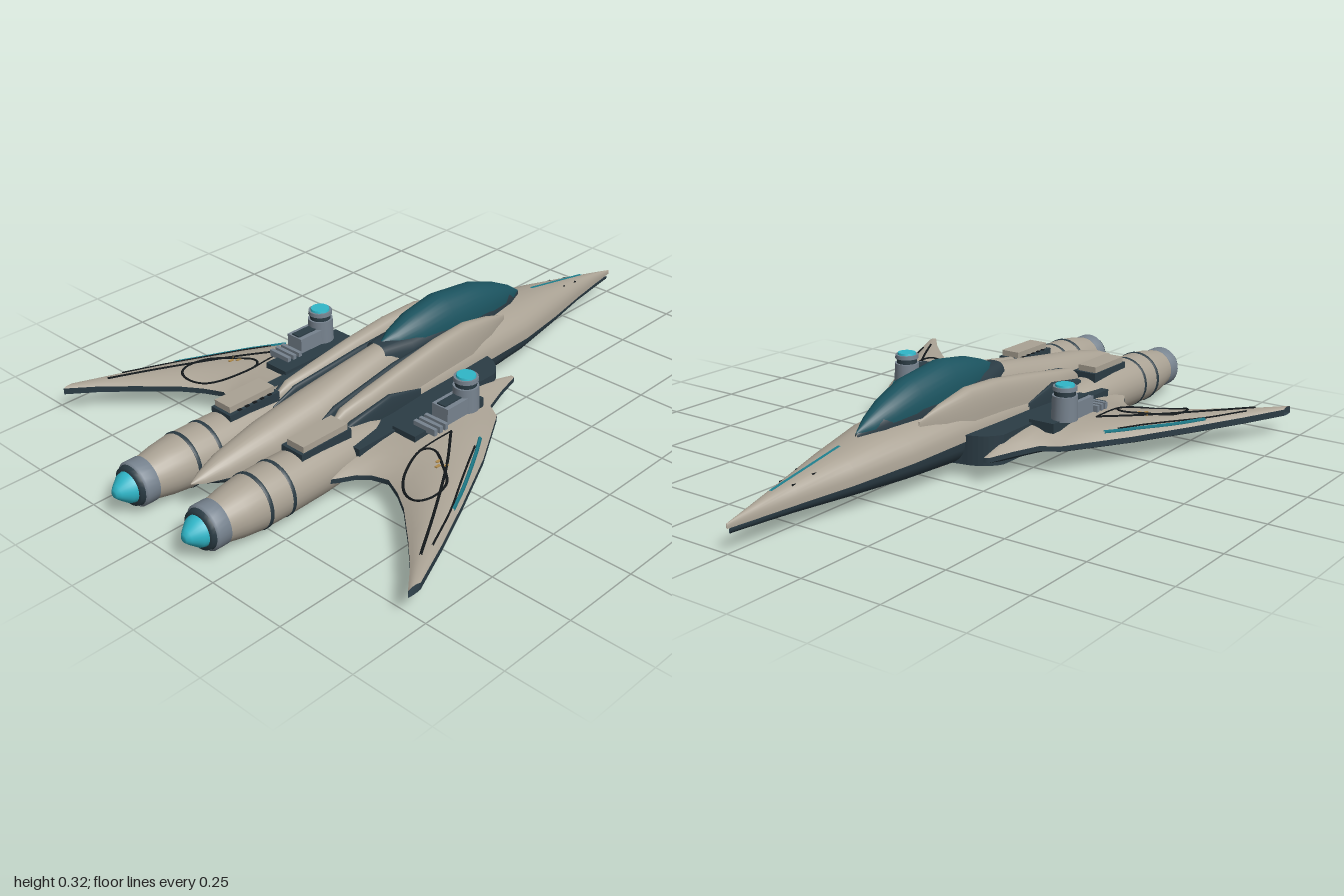
import * as THREE from 'three';

const mat = (name, color) => new THREE.MeshStandardMaterial({ name, color, side: THREE.DoubleSide });

export function createModel() {
  const M = {
    hull: mat('warm grey hull', 0xaaa294), dark: mat('dark slate', 0x2b3c45), glass: mat('teal glass', 0x1b535f),
    glow: mat('cyan glow', 0x2fb6c8), steel: mat('blue steel', 0x77838f), black: mat('panel line', 0x14191c),
    teal: mat('teal stripe', 0x1f7f8e), amber: mat('amber marking', 0xb08a4a),
  };
  const root = new THREE.Group();
  const add = (name, geo, m, x = 0, y = 0, z = 0, parent = root) => {
    const mesh = new THREE.Mesh(geo, m);
    mesh.name = name;
    mesh.position.set(x, y, z);
    parent.add(mesh);
    return mesh;
  };

  // Skin through rows of points
  const skin = rows => {
    const n = rows[0].length, idx = [];
    for (let i = 0; i < rows.length - 1; i++) for (let j = 0; j < n - 1; j++) {
      const a = i * n + j, b = a + n;
      idx.push(a, b, a + 1, a + 1, b, b + 1);
    }
    const g = new THREE.BufferGeometry();
    g.setAttribute('position', new THREE.Float32BufferAttribute(rows.flat(2), 3));
    g.setIndex(idx);
    g.computeVertexNormals();
    return g;
  };
  // Half shell from sections [z, halfWidth, edgeY, crestY, centreX]
  const shell = (sections, p = 1) => skin(sections.map(([z, w, y0, y1, cx = 0]) => {
    const row = [];
    for (let k = 0; k <= 16; k++) {
      const a = Math.PI * k / 16, c = Math.cos(a), s = Math.max(0, Math.sin(a));
      row.push([cx + w * Math.sign(c) * Math.abs(c) ** p, y0 + (y1 - y0) * s ** p, z]);
    }
    return row;
  }));

  // Fuselage: pale upper shell and dark keel
  add('upperFuselage', shell([
    [-1, .002, .068, .082], [-.9, .018, .07, .105], [-.78, .042, .075, .13], [-.6, .085, .085, .163], [-.4, .128, .1, .19],
    [-.2, .143, .108, .205], [0, .15, .11, .205], [.25, .153, .11, .195], [.38, .135, .11, .17], [.5, .08, .1, .14]], .85), M.hull);
  add('keel', shell([
    [-.99, .002, .064, .052], [-.78, .038, .075, .044], [-.6, .08, .085, .036], [-.4, .122, .1, .028], [-.2, .14, .108, .02],
    [0, .148, .11, .015], [.3, .148, .11, .016], [.5, .1, .1, .025], [.7, .05, .1, .05], [.83, .004, .11, .1]], .8), M.dark);
  add('tailSpine', shell([
    [-.1, .05, .15, .24], [.1, .058, .15, .25], [.25, .062, .14, .232], [.42, .074, .11, .208], [.6, .066, .1, .185],
    [.75, .042, .1, .155], [.82, .02, .105, .13], [.855, .002, .11, .112]], .9), M.hull);
  add('canopyFrame', shell([
    [-.5, .004, .165, .188], [-.42, .04, .165, .225], [-.28, .069, .17, .25], [-.1, .074, .18, .255],
    [.05, .064, .18, .25], [.15, .04, .19, .252]], .6), M.dark);
  add('canopy', shell([
    [-.5, .002, .185, .19], [-.45, .026, .19, .225], [-.38, .048, .2, .26], [-.28, .066, .21, .295], [-.12, .071, .215, .315],
    [0, .058, .22, .298], [.08, .034, .23, .272], [.13, .003, .245, .25]], .95), M.glass);
  add('bellyPanel', skin([[-.28, .02], [-.2, .055], [0, .06], [.14, .055], [.22, .02]].map(([z, w]) =>
    [-1, 0, 1].map(s => [s * w, z < -.1 ? .014 : .01, z]))), M.hull);
  add('noseStripe', skin([[-.84, .122], [-.78, .133], [-.68, .151], [-.57, .171]].map(([z, y]) =>
    [[-.005, y, z], [.005, y, z]])), M.teal);

  // Dark centre body joining hull and wings
  const bodyShape = new THREE.Shape();
  bodyShape.moveTo(0, -.22);
  bodyShape.lineTo(.13, -.19);
  bodyShape.quadraticCurveTo(.2, -.18, .228, -.12);
  bodyShape.lineTo(.228, .45);
  bodyShape.lineTo(0, .45);
  const bodyGeo = new THREE.ExtrudeGeometry(bodyShape, { depth: .09, bevelEnabled: false, curveSegments: 8 });
  bodyGeo.rotateX(Math.PI / 2);

  // Wing planform: x, leading z, trailing z, crest y, floor y
  const W = [
    [.222, -.21, .56, .126, .035], [.235, -.205, .54, .126, .036], [.26, -.115, .495, .125, .038], [.29, -.03, .468, .124, .04],
    [.34, 0, .452, .121, .042], [.4, .1, .48, .116, .045], [.46, .2, .52, .111, .048], [.56, .4, .61, .102, .052],
    [.64, .57, .688, .094, .056], [.705, .72, .765, .087, .06]];
  const surfaceY = (x, t, s, top) => {
    const edge = top ? .082 : .07 - .008 * (x / .7);
    return edge + ((top ? s[3] : s[4]) - edge) * (1 - Math.abs(2 * t - 1) ** 2.5);
  };
  const wingSkin = top => skin(W.map(s => Array.from({ length: 13 }, (_, k) => {
    const t = k / 12;
    return [s[0], surfaceY(s[0], t, s, top), s[1] + (s[2] - s[1]) * t];
  })));
  const onWing = (x, z, top) => {
    let i = 0;
    while (i < W.length - 2 && W[i + 1][0] < x) i++;
    const f = (x - W[i][0]) / (W[i + 1][0] - W[i][0]);
    const s = W[i].map((v, k) => v + (W[i + 1][k] - v) * f);
    const t = THREE.MathUtils.clamp((z - s[1]) / (s[2] - s[1]), 0, 1);
    return new THREE.Vector3(x, surfaceY(x, t, s, top) + (top ? .001 : -.001), z);
  };
  // Thin line following the wing surface
  const wingLine = (pts, r, closed = false, smooth = true, top = true) => {
    const v = pts.map(([x, z]) => new THREE.Vector3(x, 0, z));
    const path = new THREE.CatmullRomCurve3(v, closed, 'catmullrom', smooth ? .5 : 0);
    const on = path.getPoints(28).map(p => onWing(p.x, p.z, top));
    if (closed) on.pop();
    return new THREE.TubeGeometry(new THREE.CatmullRomCurve3(on, closed), 48, r, 4, closed);
  };
  const lathe = pts => {
    const g = new THREE.LatheGeometry(pts.map(([r, z]) => new THREE.Vector2(r, z)), 28);
    return g.rotateX(Math.PI / 2);
  };

  for (const side of [1, -1]) {
    const g = new THREE.Group();
    g.name = side > 0 ? 'leftSide' : 'rightSide';
    g.scale.x = side;
    root.add(g);
    const put = (name, geo, m, x, y, z) => add(name, geo, m, x, y, z, g);

    put('centreBody', bodyGeo, M.dark, 0, .128, 0);

    // Shoulder fairing with a dark groove beside the spine
    put('shoulderFairing', shell([
      [-.33, .002, .16, .195, .085], [-.24, .022, .15, .225, .092], [-.13, .034, .14, .25, .1], [0, .036, .14, .246, .104],
      [.15, .036, .13, .228, .108], [.3, .034, .12, .205, .11], [.4, .024, .11, .19, .112], [.46, .003, .12, .15, .115]], .75), M.hull);
    put('shoulderGroove', shell([
      [-.3, .004, .12, .19, .075], [-.1, .014, .12, .226, .068], [.15, .014, .12, .215, .07], [.4, .012, .11, .185, .082],
      [.48, .004, .1, .15, .085]], .6), M.dark);
    put('sideGroove', shell([[.12, .003, .1, .15, .15], [.25, .012, .1, .185, .15], [.4, .014, .1, .16, .145], [.46, .004, .1, .13, .14]], .6), M.dark);

    // Wing
    put('wingTop', wingSkin(true), M.hull);
    put('wingUnderside', wingSkin(false), M.dark);
    put('wingRim', skin(W.map(s => [true, false].map(top => [s[0], surfaceY(s[0], 0, s, top), s[1]]))), M.dark);
    put('wingTrailingRim', skin(W.map(s => [true, false].map(top => [s[0], surfaceY(s[0], 1, s, top), s[2]]))), M.dark);
    put('wingPanelLine', wingLine([[.34, .2], [.44, .33], [.55, .5], [.64, .65]], .004), M.black);
    put('wingOuterLine', wingLine([[.42, .19], [.5, .335], [.57, .46], [.635, .6]], .003), M.black);
    put('wingRing', wingLine([[.34, .33], [.37, .42], [.42, .475], [.48, .49], [.505, .455], [.49, .385], [.43, .335], [.37, .3]], .004, true), M.black);
    put('wingInnerLine', wingLine([[.34, .2], [.338, .33]], .003), M.black);
    put('wingStripe', wingLine([[.4, .145], [.45, .225], [.52, .35], [.57, .45]], .006), M.teal);
    put('undersideHatch', wingLine([[.25, .1], [.34, .14], [.34, .34], [.25, .32]], .003, true, false, false), M.black);
    for (let i = 0; i < 3; i++) {
      const p = onWing(.41 + i * .014, .33 + (i % 2) * .018, true);
      put('wingMark', new THREE.BoxGeometry(.008, .003, .016), M.amber, p.x, p.y, p.z);
    }

    // Engine nacelle, nozzle and exhaust
    const ex = .145, ey = .083;
    put('nacelle', lathe([[.002, .24], [.04, .27], [.06, .34], [.073, .44], [.08, .55], [.082, .68], [.081, .78], [.074, .84], [.062, .9]]), M.hull, ex, ey, 0);
    for (const z of [.69, .77])
      put('nacelleBand', lathe([[.079, z - .006], [.0835, z - .005], [.0835, z + .005], [.079, z + .006]]), M.dark, ex, ey, 0);
    put('nozzle', lathe([[.056, .89], [.066, .895], [.066, .935], [.06, .94]]), M.steel, ex, ey, 0);
    put('nozzleThroat', lathe([[.06, .938], [.056, .952], [.04, .952], [.002, .95]]), M.dark, ex, ey, 0);
    put('exhaustGlow', lathe([[.046, .95], [.042, .965], [.022, .99], [.012, 1], [0, 1]]), M.glow, ex, ey, 0);

    // Equipment box on the nacelle
    put('boxBase', new THREE.BoxGeometry(.08, .03, .185), M.dark, ex, .158, .53);
    put('equipmentBox', new THREE.BoxGeometry(.064, .028, .165), M.hull, ex + .004, .178, .53);
    for (let i = 0; i < 5; i++)
      put('boxVent', new THREE.BoxGeometry(.008, .006, .012), M.black, ex - .034, .173, .47 + i * .028);

    // Turret on its deck plate
    put('turretDeck', new THREE.BoxGeometry(.085, .03, .29), M.dark, .262, .123, .165);
    put('turretBase', new THREE.CylinderGeometry(.038, .04, .075, 20), M.steel, .297, .172, .09);
    put('turretNeck', new THREE.CylinderGeometry(.032, .032, .02, 20), M.dark, .297, .217, .09);
    put('turretCap', new THREE.CylinderGeometry(.036, .037, .012, 20), M.steel, .297, .231, .09);
    put('turretLens', new THREE.CylinderGeometry(.028, .03, .008, 20), M.glow, .297, .239, .09);
    put('turretBody', new THREE.BoxGeometry(.06, .05, .09), M.steel, .297, .16, .155);
    put('turretSlot', new THREE.BoxGeometry(.03, .006, .07), M.dark, .297, .186, .16);
    for (let i = 0; i < 3; i++)
      put('turretRib', new THREE.BoxGeometry(.08, .02, .012), M.steel, .297, .142, .215 + i * .022);

    // Small nose vents
    for (const [x, y, z] of [[.022, .122, -.77], [.03, .134, -.7], [.038, .147, -.61]])
      put('noseVent', new THREE.BoxGeometry(.005, .008, .024), M.black, x, y, z);
  }
  return root;
}
